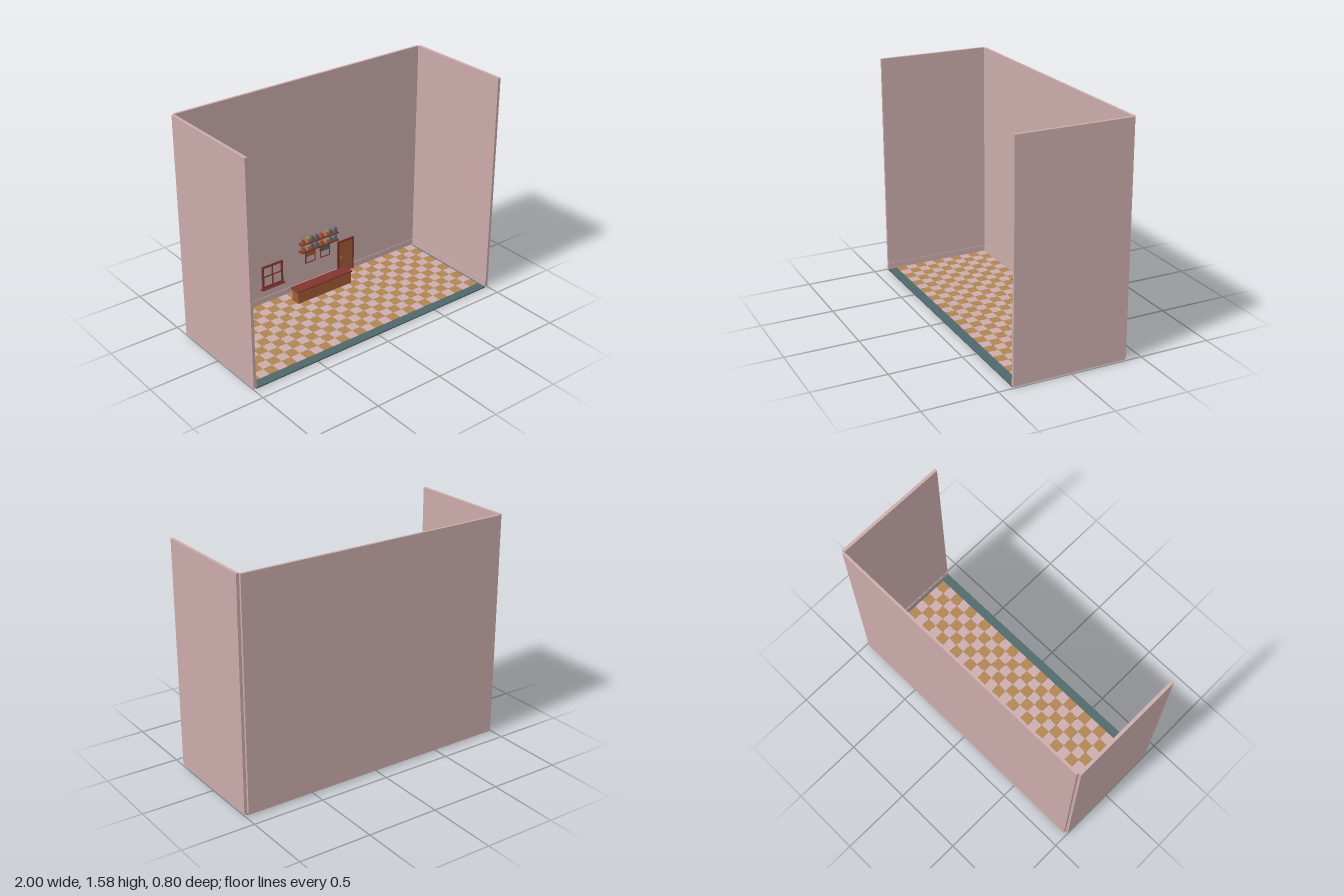
import * as THREE from 'three';

export function createModel() {
  const mat = (name, color) => {
    const m = new THREE.MeshStandardMaterial({ color });
    m.name = name;
    return m;
  };
  const pink = mat('dusty pink', 0xcbabab);
  const tan = mat('tan', 0xb08450);
  const teal = mat('teal', 0x4e686b);
  const orange = mat('orange wood', 0xa55a37);
  const red = mat('dark red wood', 0x80362e);

  const room = new THREE.Group();
  room.name = 'shopRoom';

  // Box given by its extents along each axis
  const box = (parent, name, material, x0, x1, y0, y1, z0, z1) => {
    const mesh = new THREE.Mesh(new THREE.BoxGeometry(x1 - x0, y1 - y0, z1 - z0), material);
    mesh.position.set((x0 + x1) / 2, (y0 + y1) / 2, (z0 + z1) / 2);
    mesh.name = name;
    parent.add(mesh);
    return mesh;
  };
  const group = (name) => {
    const g = new THREE.Group();
    g.name = name;
    room.add(g);
    return g;
  };
  // Four bars around a rectangle
  const frame = (parent, name, x0, x1, y0, y1, t, z0, z1) => {
    box(parent, name + 'Left', red, x0, x0 + t, y0, y1, z0, z1);
    box(parent, name + 'Right', red, x1 - t, x1, y0, y1, z0, z1);
    box(parent, name + 'Top', red, x0 + t, x1 - t, y1 - t, y1, z0, z1);
    box(parent, name + 'Bottom', red, x0 + t, x1 - t, y0, y0 + t, z0, z1);
  };

  const WALL = -0.383; // inner face of the back wall
  const FLOOR = 0.009;

  // Floor slab and walls
  box(room, 'floorSlab', teal, -0.98, 0.98, 0, FLOOR, WALL, 0.4);
  box(room, 'backWall', pink, -0.98, 0.98, FLOOR, 1.577, -0.4, WALL);
  box(room, 'backSkirting', pink, -0.98, 0.98, FLOOR, 0.055, WALL, WALL + 0.004);
  for (const s of [-1, 1]) {
    const side = s < 0 ? 'right' : 'left';
    const span = (a, b) => [Math.min(s * a, s * b), Math.max(s * a, s * b)];
    box(room, side + 'Wall', pink, ...span(0.98, 1), FLOOR, 1.577, WALL, 0.4);
    box(room, side + 'Skirting', pink, ...span(0.976, 0.98), FLOOR, 0.055, WALL, 0.4);
  }

  // Chequered tiles
  const tiles = group('floorTiles');
  const P = 0.072;
  for (let r = 0; r < 10; r++) {
    for (let c = 0; c < 27; c++) {
      const x = -0.98 + c * P, z = WALL + r * P;
      box(tiles, 'tile', (r + c) % 2 ? tan : pink,
        x + 0.0005, x + P - 0.0005, FLOOR, 0.012, z + 0.0005, z + P - 0.0005);
    }
  }

  // Counter
  const counter = group('counter');
  box(counter, 'counterBody', orange, -0.2, 0.262, 0.01, 0.105, -0.29, -0.222);
  box(counter, 'counterTop', red, -0.21, 0.27, 0.105, 0.113, -0.297, -0.214);

  // Window with crossed bars and a sill
  const win = group('window');
  frame(win, 'windowFrame', -0.388, -0.217, 0.128, 0.298, 0.013, WALL, -0.37);
  box(win, 'windowPane', pink, -0.375, -0.23, 0.141, 0.285, WALL, -0.38);
  box(win, 'verticalBar', red, -0.306, -0.299, 0.141, 0.285, WALL, -0.372);
  box(win, 'horizontalBar', red, -0.375, -0.23, 0.212, 0.219, WALL, -0.3725);
  box(win, 'windowSill', red, -0.4, -0.205, 0.12, 0.128, WALL, -0.36);

  // Framed pictures, coloured in the upper half
  [[-0.019, orange], [0.11, teal]].forEach(([x, colour]) => {
    const pic = group('wallPicture');
    frame(pic, 'pictureFrame', x, x + 0.087, 0.197, 0.298, 0.007, WALL, -0.376);
    box(pic, 'pictureUpper', colour, x + 0.007, x + 0.08, 0.246, 0.291, WALL, -0.378);
    box(pic, 'pictureLower', pink, x + 0.007, x + 0.08, 0.204, 0.246, WALL, -0.378);
  });

  // Shelves with jars
  const jarGeometry = new THREE.CylinderGeometry(0.012, 0.012, 0.035, 12);
  const jarColours = [orange, tan, teal, teal];
  for (const y of [0.307, 0.366]) {
    const shelf = group('jarShelf');
    box(shelf, 'shelfBoard', red, -0.075, 0.252, y, y + 0.008, WALL, -0.343);
    for (let i = 0; i < 8; i++) {
      const jar = new THREE.Mesh(jarGeometry, jarColours[i % 4]);
      jar.name = 'jar';
      jar.position.set(-0.053 + i * 0.0404, y + 0.0255, -0.361);
      shelf.add(jar);
    }
  }

  // Door, frame and knob
  const door = group('door');
  box(door, 'doorLeaf', orange, 0.278, 0.396, 0.01, 0.259, WALL, -0.377);
  box(door, 'doorPostRight', red, 0.265, 0.278, 0.01, 0.272, WALL, -0.373);
  box(door, 'doorPostLeft', red, 0.396, 0.409, 0.01, 0.272, WALL, -0.373);
  box(door, 'doorLintel', red, 0.278, 0.396, 0.259, 0.272, WALL, -0.373);
  const knob = new THREE.Mesh(new THREE.SphereGeometry(0.006, 12, 8), tan);
  knob.name = 'doorKnob';
  knob.position.set(0.294, 0.139, -0.373);
  door.add(knob);

  return room;
}
